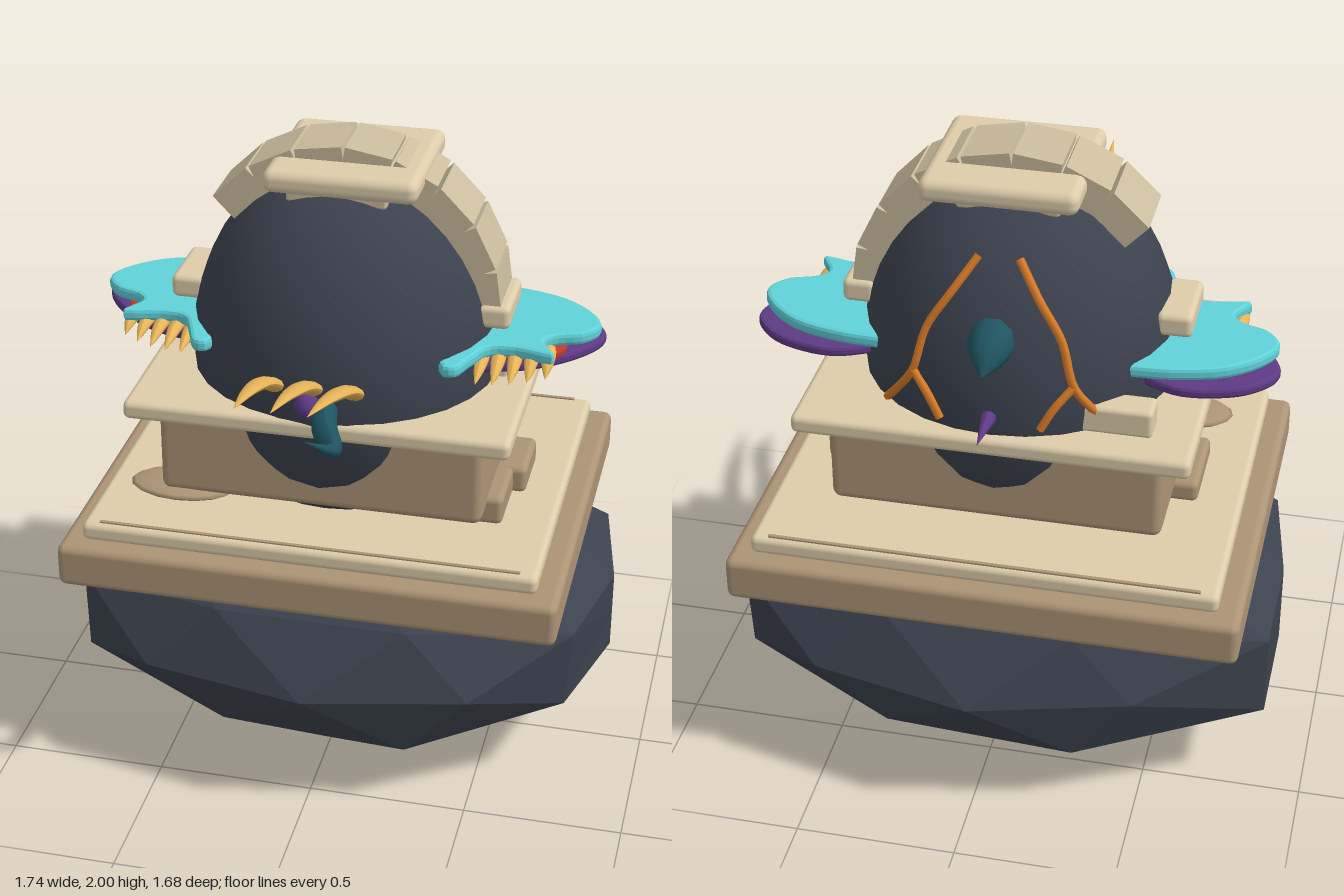
import * as THREE from 'three';
import { RoundedBoxGeometry } from 'three/addons/geometries/RoundedBoxGeometry.js';

const CX = -0.02; // middle of the shrine, slightly off centre

export function createModel() {
  const root = new THREE.Group();
  root.name = 'floatingShrine';

  const mat = (name, color) => {
    const m = new THREE.MeshStandardMaterial({ color });
    m.name = name;
    return m;
  };
  const darkRock = mat('darkRock', 0x3c424e);
  const brownStone = mat('brownStone', 0xac9476);
  const lightStone = mat('lightStone', 0xdecdab);
  const archStone = mat('archStone', 0xcabc9d);
  const teal = mat('teal', 0x60d2d9);
  const deepTeal = mat('deepTeal', 0x1f5560);
  const purple = mat('purple', 0x5e3a85);
  const gold = mat('gold', 0xeab658);
  const orange = mat('orange', 0xd97b28);
  const red = mat('red', 0xc0392b);

  const add = (name, geometry, material, parent = root) => {
    const mesh = new THREE.Mesh(geometry, material);
    mesh.name = name;
    parent.add(mesh);
    return mesh;
  };

  // Rounded block given by its extents
  const block = (name, material, [x0, x1], [y0, y1], [z0, z1], r = 0.02) => {
    const w = x1 - x0, h = y1 - y0, d = z1 - z0;
    const g = new RoundedBoxGeometry(w, h, d, 2, Math.min(r, w / 2.1, h / 2.1, d / 2.1));
    g.translate((x0 + x1) / 2, (y0 + y1) / 2, (z0 + z1) / 2);
    return add(name, g, material);
  };

  // Tube along points that narrows to a tip, optionally flattened in height
  const horn = (name, material, points, radius, power = 1.5, flat = 1, parent = root) => {
    const curve = new THREE.CatmullRomCurve3(points.map(p => new THREE.Vector3(...p)));
    const n = 14, sides = 10;
    const g = new THREE.TubeGeometry(curve, n, radius, sides);
    const pos = g.attributes.position, v = new THREE.Vector3();
    for (let i = 0; i <= n; i++) {
      const c = curve.getPointAt(i / n);
      const k = Math.max(0.01, 1 - Math.pow(i / n, power));
      for (let j = 0; j <= sides; j++) {
        const id = i * (sides + 1) + j;
        v.fromBufferAttribute(pos, id).sub(c).multiplyScalar(k);
        pos.setXYZ(id, c.x + v.x, c.y + v.y * flat, c.z + v.z);
      }
    }
    g.computeVertexNormals();
    return add(name, g, material, parent);
  };

  // Faceted rock under the shrine: a squashed, uneven polyhedron with blunt ends
  const rock = new THREE.IcosahedronGeometry(1, 1).rotateY(Math.PI / 2);
  const rp = rock.attributes.position;
  for (let i = 0; i < rp.count; i++) {
    const x = rp.getX(i), y = rp.getY(i), z = rp.getZ(i);
    const onAxis = Math.max(Math.abs(x), Math.abs(y), Math.abs(z)) > 0.99;
    const wob = onAxis ? 1 : 1 + 0.035 * Math.sin(x * 7.1 + y * 11.3 + z * 5.7 + 1);
    const blunt = Math.abs(x) > 0.84 && Math.abs(y) > 0.5; // corners of the blunt ends
    const shoulder = x < -0.8 && z < -0.4; // one flank bulges outwards
    const px = blunt ? Math.sign(x) * 0.87 : x * (shoulder ? 1.06 : 0.96) * wob;
    rp.setXYZ(i,
      THREE.MathUtils.clamp(px, -0.87, 0.87),
      0.43 + y * (blunt ? 0.25 : 0.43 * Math.min(wob, 1.01)),
      -0.1 + z * 0.74 * Math.min(wob, 1.02));
  }
  rock.computeVertexNormals();
  add('baseRock', rock, darkRock);

  // Stepped stone platform
  block('lowerSlab', brownStone, [-0.805, 0.765], [0.67, 0.812], [-0.755, 0.522], 0.025);
  block('lowerStep', lightStone, [-0.735, 0.695], [0.815, 0.875], [-0.705, 0.47], 0.02);
  for (const z of [0.445, -0.685])
    block('stepGroove', brownStone, [-0.68, 0.64], [0.872, 0.88], [z - 0.006, z + 0.006], 0.002);
  block('shrineBlock', brownStone, [-0.53, 0.49], [0.92, 1.21], [-0.515, 0.285], 0.03);
  block('upperSlab', lightStone, [-0.62, 0.58], [1.2, 1.26], [-0.6, 0.36], 0.02);
  block('cornerStone', lightStone, [-0.49, -0.27], [1.255, 1.345], [-0.49, -0.39], 0.015);

  // Side footings and pale pilasters
  block('footingFront', brownStone, [0.3, 0.54], [0.875, 0.97], [-0.03, 0.19]);
  block('footingRear', brownStone, [0.3, 0.58], [0.875, 0.965], [-0.24, -0.02]);
  block('footingLeft', brownStone, [-0.6, -0.3], [0.875, 0.945], [-0.24, 0.04]);
  block('pilaster', lightStone, [0.4, 0.5], [0.95, 1.31], [-0.16, -0.07], 0.01);
  block('pilaster', lightStone, [-0.54, -0.44], [0.93, 1.31], [-0.16, -0.07], 0.01);
  const pebble = add('flatPebble', new THREE.SphereGeometry(1, 16, 8), brownStone);
  pebble.scale.set(0.17, 0.022, 0.1);
  pebble.position.set(-0.475, 0.913, 0.22);

  // Dark egg-shaped body
  const body = add('eggBody', new THREE.SphereGeometry(1, 28, 20), darkRock);
  body.scale.set(0.485, 0.6, 0.467);
  body.position.set(CX, 1.32, -0.105);

  // Broken arch of stone blocks over the body
  const arch = new THREE.Group();
  arch.name = 'arch';
  root.add(arch);
  for (let i = 0; i < 8; i++) {
    const a = THREE.MathUtils.degToRad(8 + 18 * i);
    const b = add('archBlock', new THREE.BoxGeometry(0.1, 0.146, 0.21), archStone, arch);
    b.position.set(CX + 0.45 * Math.cos(a), 1.497 + 0.45 * Math.sin(a), -0.115);
    b.rotation.z = a;
  }
  block('archFoot', lightStone, [0.41, 0.512], [1.455, 1.53], [-0.235, 0.005]);
  block('archFoot', lightStone, [-0.56, -0.45], [1.455, 1.53], [-0.235, 0.005]);
  block('capStone', lightStone, [-0.235, 0.24], [1.882, 1.955], [-0.355, 0.115], 0.03);
  block('capBed', archStone, [-0.17, 0.14], [1.845, 1.89], [-0.29, 0.07], 0.01);

  // Flat plate from a smooth x/z outline, mirrored by side
  const plate = (name, material, points, side, y, thick, parent) => {
    const pts = points.map(([x, z]) => new THREE.Vector2(CX + side * (x - CX), -z));
    const shape = new THREE.Shape(new THREE.SplineCurve([...pts, pts[0]]).getPoints(50).slice(0, -1));
    const g = new THREE.ExtrudeGeometry(shape, {
      depth: thick * 0.4, bevelThickness: thick * 0.3, bevelSize: 0.012, bevelOffset: -0.012, bevelSegments: 2,
    });
    g.rotateX(-Math.PI / 2);
    g.translate(0, y + thick * 0.3, 0);
    return add(name, g, material, parent);
  };
  const wingOutline = [[0.36, -0.38], [0.49, -0.37], [0.63, -0.33], [0.73, -0.25], [0.775, -0.16],
    [0.73, -0.085], [0.655, -0.055], [0.62, -0.01], [0.66, 0.075], [0.54, 0.055], [0.46, 0.07],
    [0.42, 0.15], [0.385, 0.225], [0.33, 0.19], [0.33, -0.1]];
  const underOutline = [[0.34, -0.3], [0.5, -0.375], [0.66, -0.35], [0.755, -0.28], [0.785, -0.2],
    [0.735, -0.1], [0.63, 0], [0.5, 0.06], [0.35, 0.05]];
  const membraneOutline = [[0.36, -0.2], [0.52, -0.26], [0.65, -0.18], [0.68, -0.06], [0.62, 0.01],
    [0.5, 0.04], [0.36, 0.02]];

  // Layered side fins with a row of claws
  for (const side of [1, -1]) {
    const fin = new THREE.Group();
    fin.name = side > 0 ? 'leftFin' : 'rightFin';
    root.add(fin);
    plate('finTop', teal, wingOutline, side, 1.39, 0.042, fin);
    plate('finMembrane', red, membraneOutline, side, 1.362, 0.032, fin);
    plate('finUnderside', purple, underOutline, side, 1.34, 0.034, fin);
    for (let i = 0; i < 5; i++) {
      const x = CX + side * (0.43 + 0.05 * i - CX);
      const tip = 0.19 - 0.005 * i * i;
      horn('finClaw', gold, [[x, 1.385, -0.04], [x + side * 0.01, 1.385, 0.06], [x + side * 0.012, 1.36, tip]],
        0.025, 3, 0.75, fin);
    }
  }

  // Three long golden horns at the front
  for (const d of [-1, 0, 1]) {
    const x = CX + d * 0.105;
    horn('goldHorn', gold, [[x + d * 0.015, 1.33, 0.28], [x + d * 0.018, 1.43, 0.45],
      [x + d * 0.01, 1.505, 0.65], [x, 1.55, 0.84]], 0.034, 2.6, 0.5);
  }

  // Curled dark horn with a purple bud at its root
  horn('curledHorn', deepTeal, [[0, 1.32, 0.28], [0.04, 1.3, 0.45], [0.105, 1.335, 0.62],
    [0.12, 1.39, 0.73], [0.07, 1.46, 0.82]], 0.042, 2.2);
  const bud = add('purpleBud', new THREE.SphereGeometry(1, 12, 8), purple);
  bud.scale.set(0.042, 0.045, 0.05);
  bud.position.set(-0.035, 1.32, 0.35);

  // Thorn and spike on the back
  horn('backThorn', deepTeal, [[CX, 1.55, -0.44], [CX, 1.545, -0.55], [CX, 1.505, -0.65]], 0.075, 3);
  horn('backSpike', purple, [[CX, 1.32, -0.52], [CX, 1.32, -0.62], [CX, 1.32, -0.72]], 0.032, 1);

  // Glowing veins lying on the back of the body
  const onBack = (x, y) => {
    const k = 1 - ((x - CX) / 0.485) ** 2 - ((y - 1.32) / 0.6) ** 2;
    return new THREE.Vector3(x, y, -0.112 - 0.467 * Math.sqrt(Math.max(0, k)));
  };
  const veins = [
    [[0.06, 1.77], [0.13, 1.67], [0.2, 1.56], [0.24, 1.42], [0.29, 1.34], [0.34, 1.27]],
    [[0.24, 1.42], [0.19, 1.36], [0.15, 1.29]],
  ];
  for (const side of [1, -1])
    for (const path of veins) {
      const curve = new THREE.CatmullRomCurve3(path.map(([x, y]) => onBack(CX + side * x, y)));
      add('vein', new THREE.TubeGeometry(curve, 20, 0.013, 6), orange);
    }

  return root;
}
